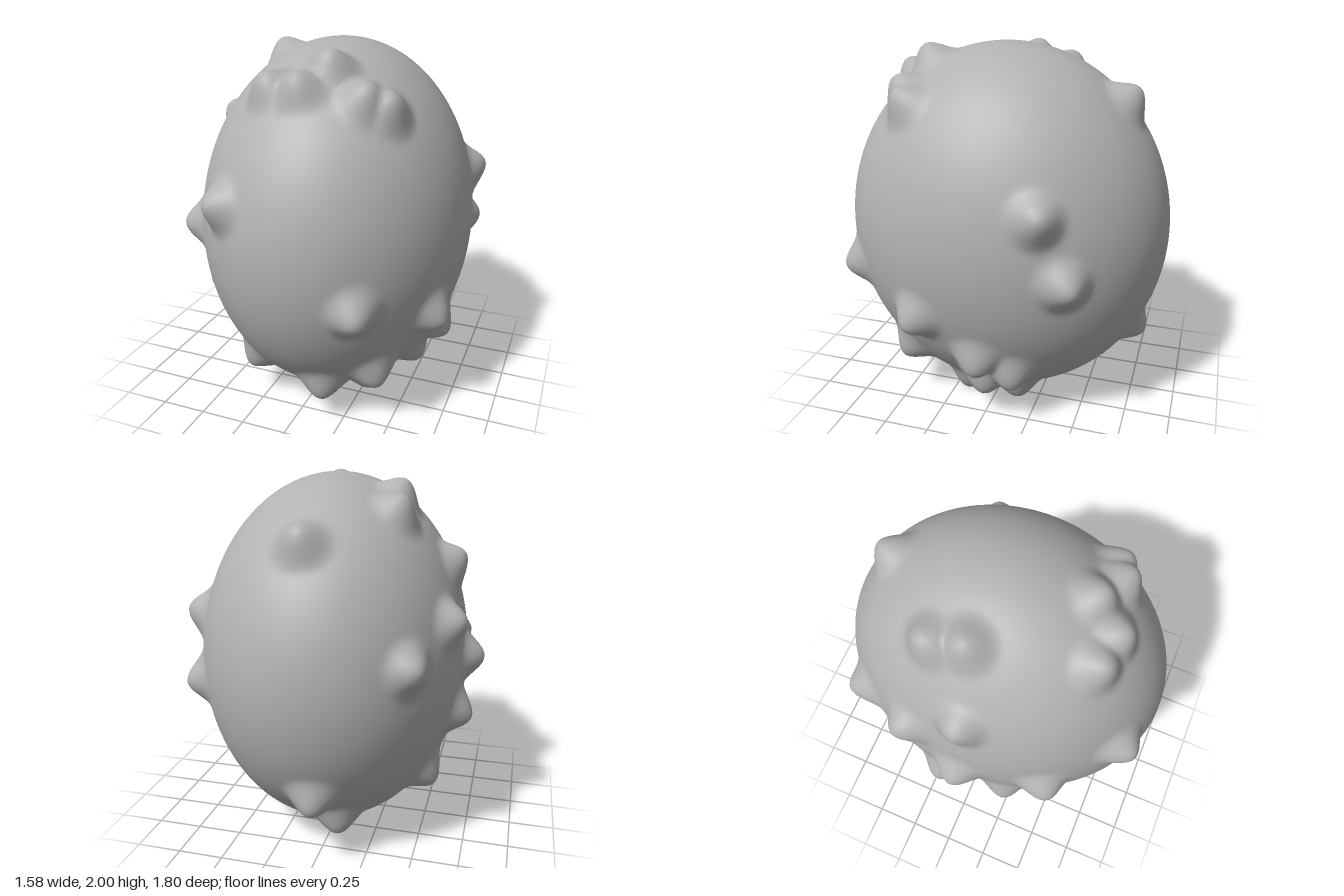
import * as THREE from 'three';
import { mergeVertices } from 'three/addons/utils/BufferGeometryUtils.js';

const CENTRE = new THREE.Vector3(0.04, 1.012, 0);
const RADII = new THREE.Vector3(0.735, 0.987, 0.9);

// Approximate tip of each knob: x, y, z
const KNOBS = [
  // crown
  [0.05, 1.78, -0.7], [-0.15, 1.84, 0.55], [0.03, 1.84, 0.57], [0.14, 1.94, 0.42],
  [0.36, 1.8, 0.5], [0.47, 1.77, 0.46], [-0.34, 1.94, -0.07], [-0.38, 1.9, -0.27],
  // left side
  [0.76, 1.28, -0.36], [0.72, 0.92, -0.5], [0.72, 0.62, 0.34], [0.69, 0.37, 0],
  [0.58, 0.3, -0.17], [0.54, 0.16, 0], [0.42, 0.3, 0.48],
  // front and back
  [0.42, 0.78, 0.81], [-0.33, 1.27, 0.82], [-0.02, 0.38, -0.78], [-0.1, 0.16, -0.54],
  // right side
  [-0.66, 1.03, 0.5], [-0.78, 1.02, 0], [-0.65, 1.57, 0], [-0.7, 1.3, -0.33],
  [-0.54, 1.14, -0.7], [-0.74, 0.71, -0.13], [-0.68, 0.57, 0.26], [-0.57, 0.34, -0.22],
];
// underside
const LOW_KNOBS = [
  [0.05, 0.01, 0.38], [0.3, 0.01, -0.13], [0.3, 0.01, 0.18], [-0.34, 0.08, 0.18],
  [-0.34, 0.18, 0.5], [0.15, 0.17, 0.58],
];

// Nearest point of the smooth egg along the scaled direction
const onEgg = (p) => p.sub(CENTRE).divide(RADII).normalize().multiply(RADII);

export function createModel() {
  const group = new THREE.Group();
  const greySkin = new THREE.MeshStandardMaterial({ color: 0xb2b2b2 });
  greySkin.name = 'grey skin';

  const knobs = [...KNOBS, ...LOW_KNOBS].map((k) => onEgg(new THREE.Vector3(...k)));

  // Even sphere, welded so the normals stay smooth
  let geo = new THREE.IcosahedronGeometry(1, 44);
  geo.deleteAttribute('uv');
  geo.deleteAttribute('normal');
  geo = mergeVertices(geo, 1e-5);

  // Stretch to an egg and pull out a blunt cone around each knob
  const pos = geo.attributes.position;
  const p = new THREE.Vector3();
  const reach = 0.18;
  const height = 0.1;
  for (let i = 0; i < pos.count; i++) {
    p.fromBufferAttribute(pos, i).normalize().multiply(RADII);
    let lift = 0;
    for (const k of knobs) {
      const t = p.distanceTo(k) / reach;
      if (t < 1) lift = Math.max(lift, height * Math.pow((1 - t) * (1 - t) * (1 + 2 * t), 1.2));
    }
    p.multiplyScalar(1 + lift / p.length()).add(CENTRE);
    pos.setXYZ(i, p.x, THREE.MathUtils.clamp(p.y, 0, 2), p.z);
  }
  geo.computeVertexNormals();

  const body = new THREE.Mesh(geo, greySkin);
  body.name = 'knobblyBody';
  group.add(body);
  return group;
}
